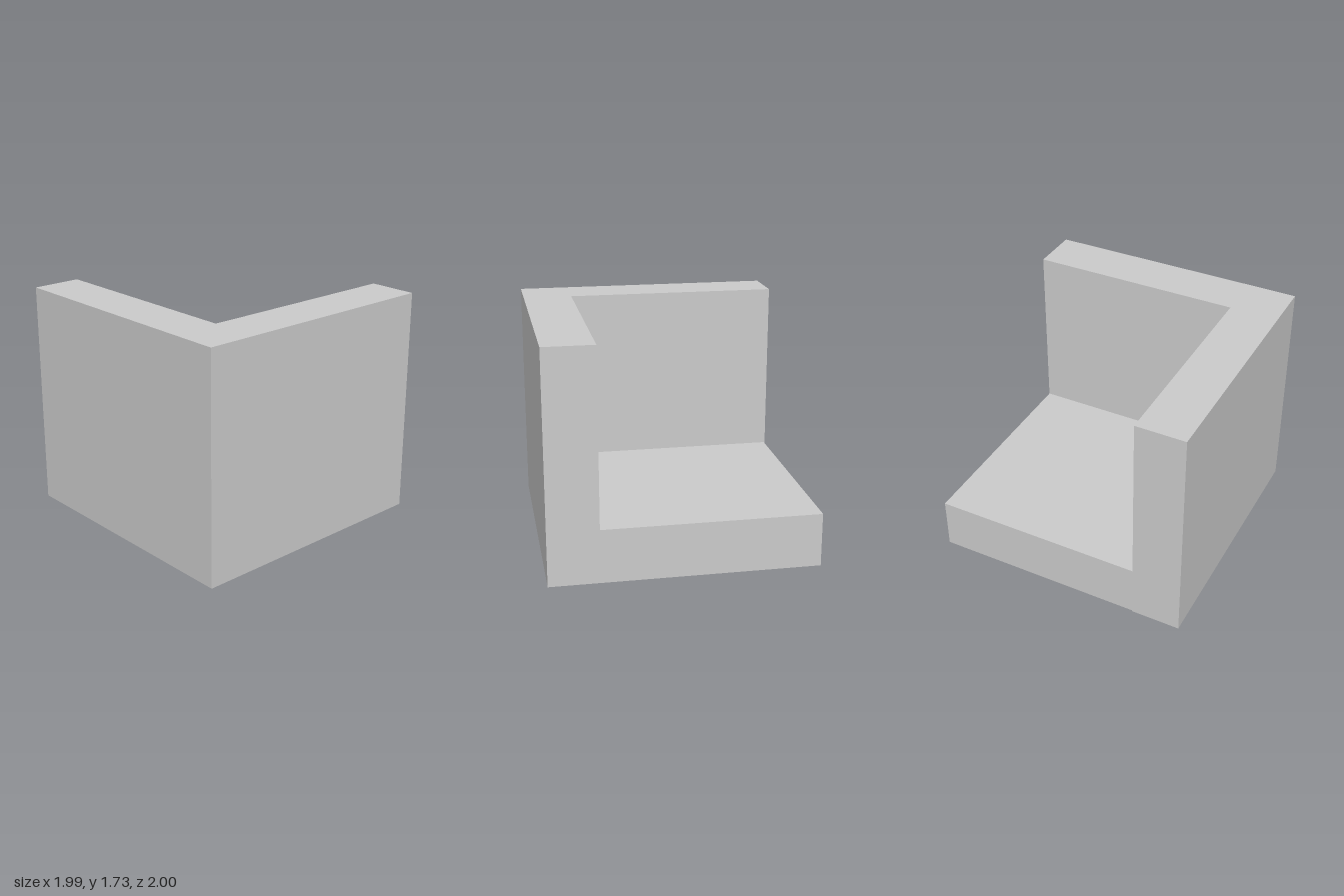
import * as THREE from 'three';

const X = 0.995, Z = 1;        // half extents
const HEIGHT = 1.73, FLOOR = 0.405;
const INNER_X = -0.62, INNER_Z = 0.625; // inner wall faces
const FLOOR_BACK = -0.993;     // floor stops just short of the side wall's end

export function createModel() {
  const group = new THREE.Group();
  const material = new THREE.MeshStandardMaterial({ color: 0xcccccc, flatShading: true });

  // Extrude a plan outline, given as [x, z] corners, upwards from the ground
  const addPart = (name, outline, height) => {
    const shape = new THREE.Shape(outline.map(([x, z]) => new THREE.Vector2(x, -z)));
    const geometry = new THREE.ExtrudeGeometry(shape, { depth: height, bevelEnabled: false });
    geometry.rotateX(-Math.PI / 2);
    const mesh = new THREE.Mesh(geometry, material);
    mesh.name = name;
    group.add(mesh);
  };

  // Front and side walls, joined at the corner
  addPart('cornerWalls', [
    [-X, Z], [X, Z], [X, INNER_Z], [INNER_X, INNER_Z], [INNER_X, -Z], [-X, -Z],
  ], HEIGHT);

  // Thick floor slab filling the angle between the walls
  addPart('floorSlab', [
    [INNER_X, INNER_Z], [X, INNER_Z], [X, FLOOR_BACK], [INNER_X, FLOOR_BACK],
  ], FLOOR);

  return group;
}
